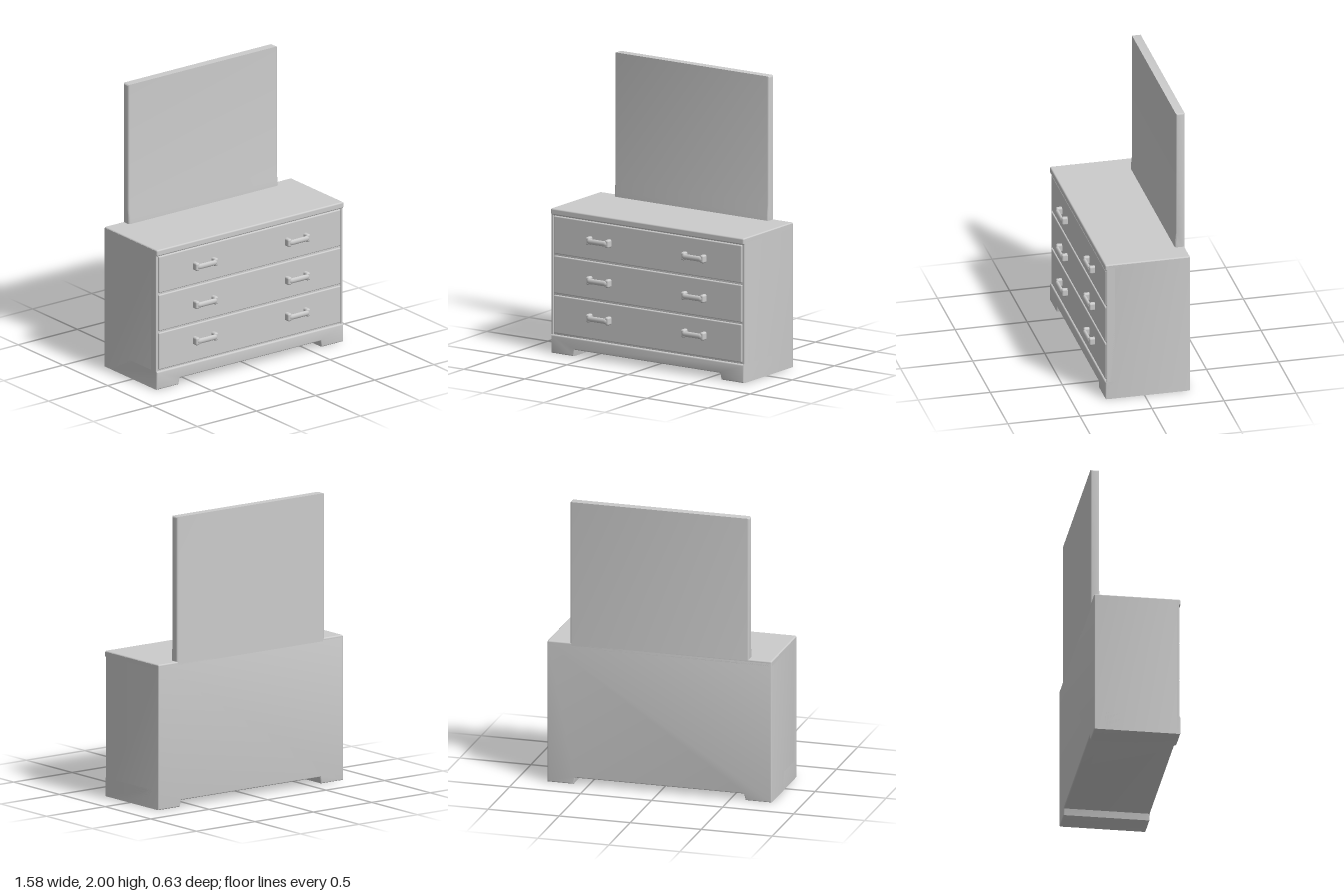
import * as THREE from 'three';
import { RoundedBoxGeometry } from 'three/addons/geometries/RoundedBoxGeometry.js';
import { toCreasedNormals } from 'three/addons/utils/BufferGeometryUtils.js';

const grey = new THREE.MeshStandardMaterial({ color: 0xcccccc });

function add(parent, name, geometry) {
  const mesh = new THREE.Mesh(geometry, grey);
  mesh.name = name;
  parent.add(mesh);
  return mesh;
}

// Rounded box given by its minimum and maximum on each axis
function box(parent, name, [x0, x1], [y0, y1], [z0, z1], r) {
  const mesh = add(parent, name, new RoundedBoxGeometry(x1 - x0, y1 - y0, z1 - z0, 3, r));
  mesh.position.set((x0 + x1) / 2, (y0 + y1) / 2, (z0 + z1) / 2);
  return mesh;
}

// Front outline extruded from z0 to z1 with softly rounded edges
function slab(parent, name, points, z0, z1, r) {
  const shape = new THREE.Shape(points.map(([x, y]) => new THREE.Vector2(x, y)));
  const geometry = new THREE.ExtrudeGeometry(shape, {
    depth: z1 - z0 - 2 * r, bevelSize: r, bevelThickness: r, bevelOffset: -r, bevelSegments: 3,
  });
  geometry.translate(0, 0, z0 + r);
  return add(parent, name, toCreasedNormals(geometry, 0.6));
}

// Bow handle: a bent bar on two thicker posts
function createHandle() {
  const handle = new THREE.Group();
  handle.name = 'handle';
  const path = new THREE.CurvePath();
  const v = (x, z) => new THREE.Vector3(x, 0, z);
  path.add(new THREE.LineCurve3(v(-0.078, 0.255), v(-0.078, 0.285)));
  path.add(new THREE.QuadraticBezierCurve3(v(-0.078, 0.285), v(-0.078, 0.302), v(-0.06, 0.302)));
  path.add(new THREE.LineCurve3(v(-0.06, 0.302), v(0.06, 0.302)));
  path.add(new THREE.QuadraticBezierCurve3(v(0.06, 0.302), v(0.078, 0.302), v(0.078, 0.285)));
  path.add(new THREE.LineCurve3(v(0.078, 0.285), v(0.078, 0.255)));
  const bar = add(handle, 'handleBar', new THREE.TubeGeometry(path, 60, 0.013, 14));
  bar.scale.y = 1.45;
  for (const side of [-1, 1]) {
    const post = box(handle, 'handlePost', [-0.016, 0.016], [-0.028, 0.028], [0.255, 0.308], 0.012);
    post.position.x = side * 0.078;
  }
  return handle;
}

export function createModel() {
  const model = new THREE.Group();
  model.name = 'dresser';

  // Carcass with a raised underside between the two feet
  const outline = (top) => [
    [-0.79, 0], [-0.605, 0], [-0.595, 0.045], [0.595, 0.045],
    [0.605, 0], [0.79, 0], [0.79, top], [-0.79, top],
  ];
  slab(model, 'carcass', outline(0.995), -0.317, 0.255, 0.008);
  slab(model, 'plinth', outline(0.128), -0.25, 0.272, 0.01);
  box(model, 'topBoard', [-0.79, 0.79], [0.957, 1.002], [-0.317, 0.273], 0.01);
  for (const side of [-1, 1]) {
    const stile = box(model, 'stile', [-0.0075, 0.0075], [0.1, 0.98], [0.2, 0.262], 0.004);
    stile.position.x = side * 0.7825;
  }

  // Three wide drawers, each with a pair of handles
  const drawers = [[0.14, 0.403, 0.287], [0.417, 0.676, 0.547], [0.69, 0.951, 0.822]];
  for (const [bottom, top, handleY] of drawers) {
    box(model, 'drawerFront', [-0.769, 0.769], [bottom, top], [0.2, 0.268], 0.007);
    for (const side of [-1, 1]) {
      const handle = createHandle();
      handle.position.set(side * 0.389, handleY, 0);
      model.add(handle);
    }
  }

  // Mirror panel, a little thicker towards its foot
  const profile = new THREE.Shape();
  profile.moveTo(-0.317, 0.98);
  profile.lineTo(-0.25, 0.98);
  profile.lineTo(-0.25, 1.04);
  profile.lineTo(-0.257, 1.11);
  profile.lineTo(-0.257, 2);
  profile.lineTo(-0.317, 2);
  const r = 0.012;
  const panel = new THREE.ExtrudeGeometry(profile, {
    depth: 1.26 - 2 * r, bevelSize: r, bevelThickness: r, bevelOffset: -r, bevelSegments: 4,
  });
  // Turn the profile plane (z, y) to run along x
  panel.translate(0, 0, r - 0.63);
  panel.applyMatrix4(new THREE.Matrix4().makeBasis(
    new THREE.Vector3(0, 0, 1), new THREE.Vector3(0, 1, 0), new THREE.Vector3(-1, 0, 0)));
  add(model, 'mirrorPanel', toCreasedNormals(panel, 0.6));

  return model;
}
